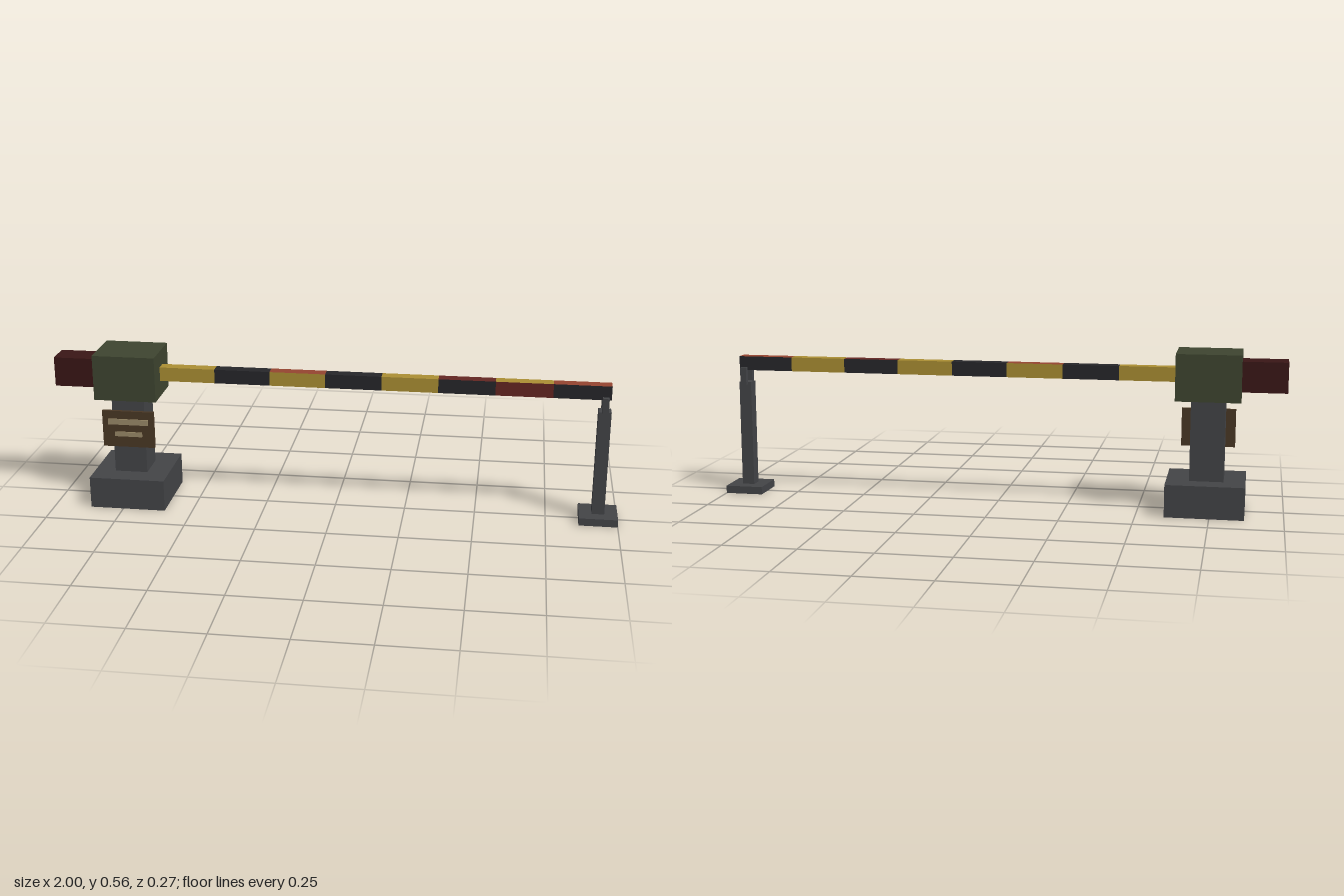
import * as THREE from 'three';

const mat = (color) => new THREE.MeshStandardMaterial({ color });
const steel = mat(0x434447), green = mat(0x3e4530), maroon = mat(0x3a1616);
const brown = mat(0x4a3825), tan = mat(0x9a8a68);
const yellow = mat(0xab8f33), black = mat(0x26262a), rust = mat(0x954530), darkRed = mat(0x642622);

// Box given by its extents on each axis
function box(parent, name, [x0, x1], [y0, y1], [z0, z1], material) {
  const mesh = new THREE.Mesh(new THREE.BoxGeometry(x1 - x0, y1 - y0, z1 - z0), material);
  mesh.position.set((x0 + x1) / 2, (y0 + y1) / 2, (z0 + z1) / 2);
  mesh.name = name;
  parent.add(mesh);
  return mesh;
}

function group(parent, name) {
  const g = new THREE.Group();
  g.name = name;
  parent.add(g);
  return g;
}

export function createModel() {
  const model = new THREE.Group();
  model.name = 'barrierGate';

  // Pivot pedestal with housing and counterweight
  const pedestal = group(model, 'pedestal');
  box(pedestal, 'base', [-0.868, -0.598], [0, 0.113], [-0.136, 0.136], steel);
  box(pedestal, 'post', [-0.794, -0.677], [0.113, 0.394], [-0.058, 0.058], steel);
  box(pedestal, 'housing', [-0.846, -0.624], [0.394, 0.556], [-0.094, 0.094], green);
  box(pedestal, 'counterweight', [-1, -0.846], [0.424, 0.529], [-0.046, 0.046], maroon);

  // Notice board with two raised strips
  const board = group(model, 'noticeBoard');
  box(board, 'panel', [-0.828, -0.641], [0.213, 0.347], [0.06, 0.071], brown);
  box(board, 'upperStrip', [-0.807, -0.662], [0.297, 0.318], [0.071, 0.075], tan);
  box(board, 'lowerStrip', [-0.784, -0.685], [0.253, 0.27], [0.071, 0.075], tan);

  // Striped boom: alternating segments, some with weathered top or front faces
  const boom = group(model, 'boom');
  const tops = { 2: rust, 5: darkRed, 6: yellow, 7: rust };
  const fronts = { 6: darkRed };
  const start = -0.624, step = (0.951 - start) / 8;
  for (let i = 0; i < 8; i++) {
    const body = i % 2 ? black : yellow;
    const faces = [body, body, tops[i] ?? body, body, fronts[i] ?? body, body];
    box(boom, 'boomSegment', [start + i * step, start + (i + 1) * step], [0.45, 0.5], [-0.021, 0.021], faces);
  }

  // Rest stand with a two-pronged cradle
  const stand = group(model, 'restStand');
  box(stand, 'foot', [0.865, 1], [0, 0.027], [-0.067, 0.067], steel);
  box(stand, 'standPost', [0.91, 0.954], [0.027, 0.406], [-0.022, 0.022], steel);
  for (const s of [-1, 1]) {
    const z = s * 0.031;
    box(stand, 'cradleProng', [0.921, 0.943], [0.398, 0.461], [z - 0.0095, z + 0.0095], steel);
  }
  return model;
}
